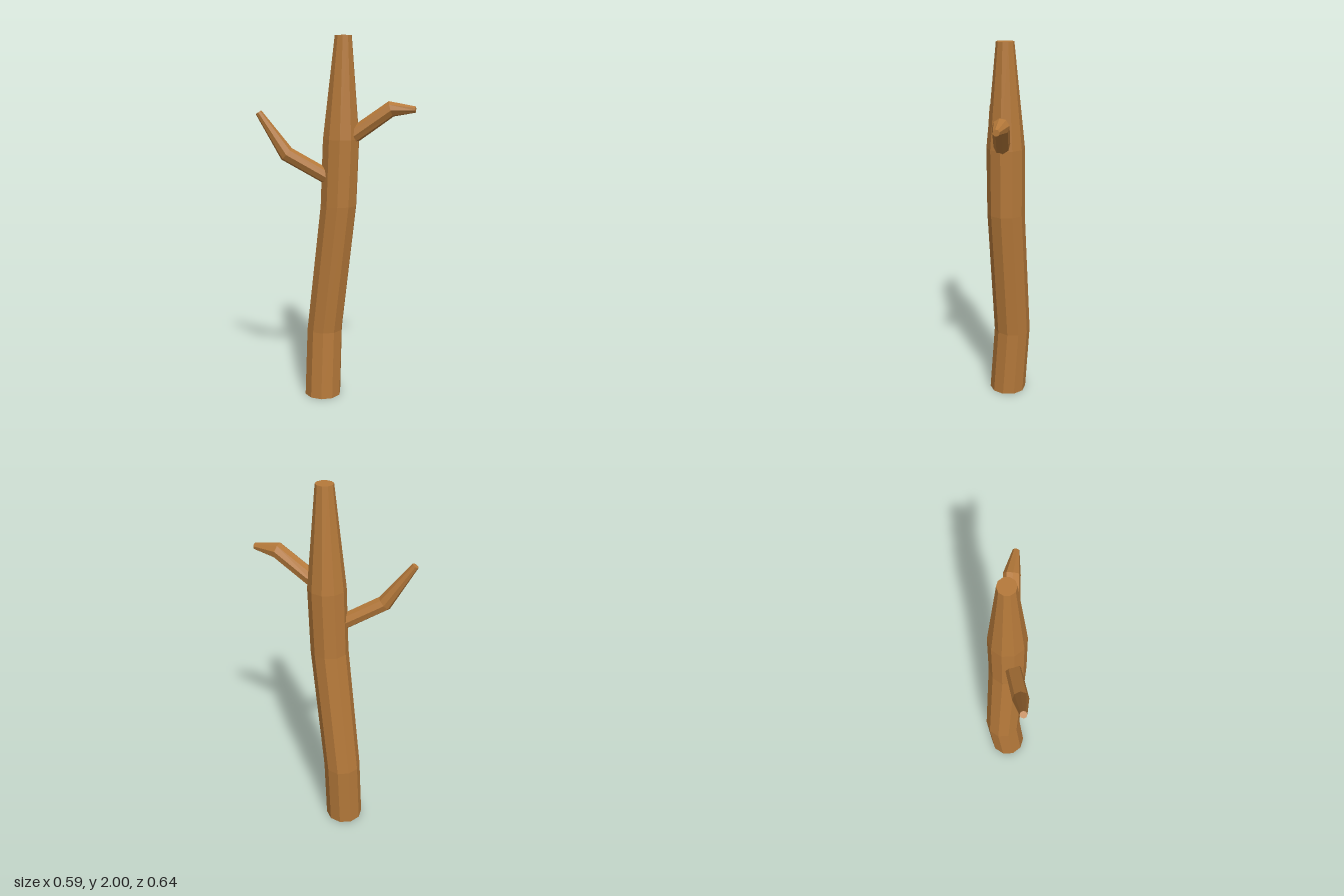
import * as THREE from 'three';

const V = (x, y, z) => new THREE.Vector3(x, y, z);

// Lofts a capped limb through rings of [x, y, z, radius].
// level = true keeps every ring horizontal, otherwise rings follow the bends.
function limb(name, rings, sides, phase, level, material) {
  const pts = rings.map(([x, y, z]) => V(x, y, z));
  const pos = [];
  const index = [];
  const last = rings.length - 1;

  rings.forEach(([, , , r], i) => {
    let dir = V(0, 1, 0);
    if (!level) {
      const before = pts[i].clone().sub(pts[Math.max(i - 1, 0)]).normalize();
      const after = pts[Math.min(i + 1, last)].clone().sub(pts[i]).normalize();
      dir = before.add(after).normalize();
    }
    const turn = new THREE.Quaternion().setFromUnitVectors(V(0, 1, 0), dir);
    for (let j = 0; j < sides; j++) {
      const a = phase + (j / sides) * Math.PI * 2;
      const p = V(Math.cos(a) * r, 0, Math.sin(a) * r).applyQuaternion(turn).add(pts[i]);
      pos.push(p.x, p.y, p.z);
    }
  });

  // Side walls
  for (let i = 0; i < last; i++) {
    for (let j = 0; j < sides; j++) {
      const a = i * sides + j;
      const b = i * sides + ((j + 1) % sides);
      index.push(a, a + sides, b, b, a + sides, b + sides);
    }
  }
  // End caps
  for (let j = 1; j < sides - 1; j++) {
    const t = last * sides;
    index.push(0, j, j + 1, t, t + j + 1, t + j);
  }

  const geo = new THREE.BufferGeometry();
  geo.setAttribute('position', new THREE.Float32BufferAttribute(pos, 3));
  geo.setIndex(index);
  const flat = geo.toNonIndexed();
  flat.computeVertexNormals();
  const mesh = new THREE.Mesh(flat, material);
  mesh.name = name;
  return mesh;
}

export function createModel() {
  const group = new THREE.Group();
  group.name = 'deadTree';
  const bark = new THREE.MeshStandardMaterial({ color: 0xb5793a, flatShading: true });

  // Leaning trunk, tapering to a cut top
  group.add(limb('trunk', [
    [0.005, 0, -0.114, 0.102],
    [0.028, 0.38, -0.122, 0.1],
    [0.052, 1.1, -0.034, 0.1],
    [0.058, 1.46, -0.021, 0.1],
    [0.061, 2, -0.009, 0.046],
  ], 10, Math.PI / 6, true, bark));

  // Rear branch on the right, bending upwards
  group.add(limb('rightBranch', [
    [0.03, 1.23, -0.03, 0.041],
    [-0.175, 1.383, -0.198, 0.042],
    [-0.278, 1.603, -0.302, 0.018],
  ], 8, 0, false, bark));

  // Front branch on the left, levelling off at its tip
  group.add(limb('leftBranch', [
    [0.065, 1.455, 0.015, 0.043],
    [0.212, 1.622, 0.198, 0.043],
    [0.279, 1.62, 0.309, 0.017],
  ], 8, 0, false, bark));

  return group;
}
